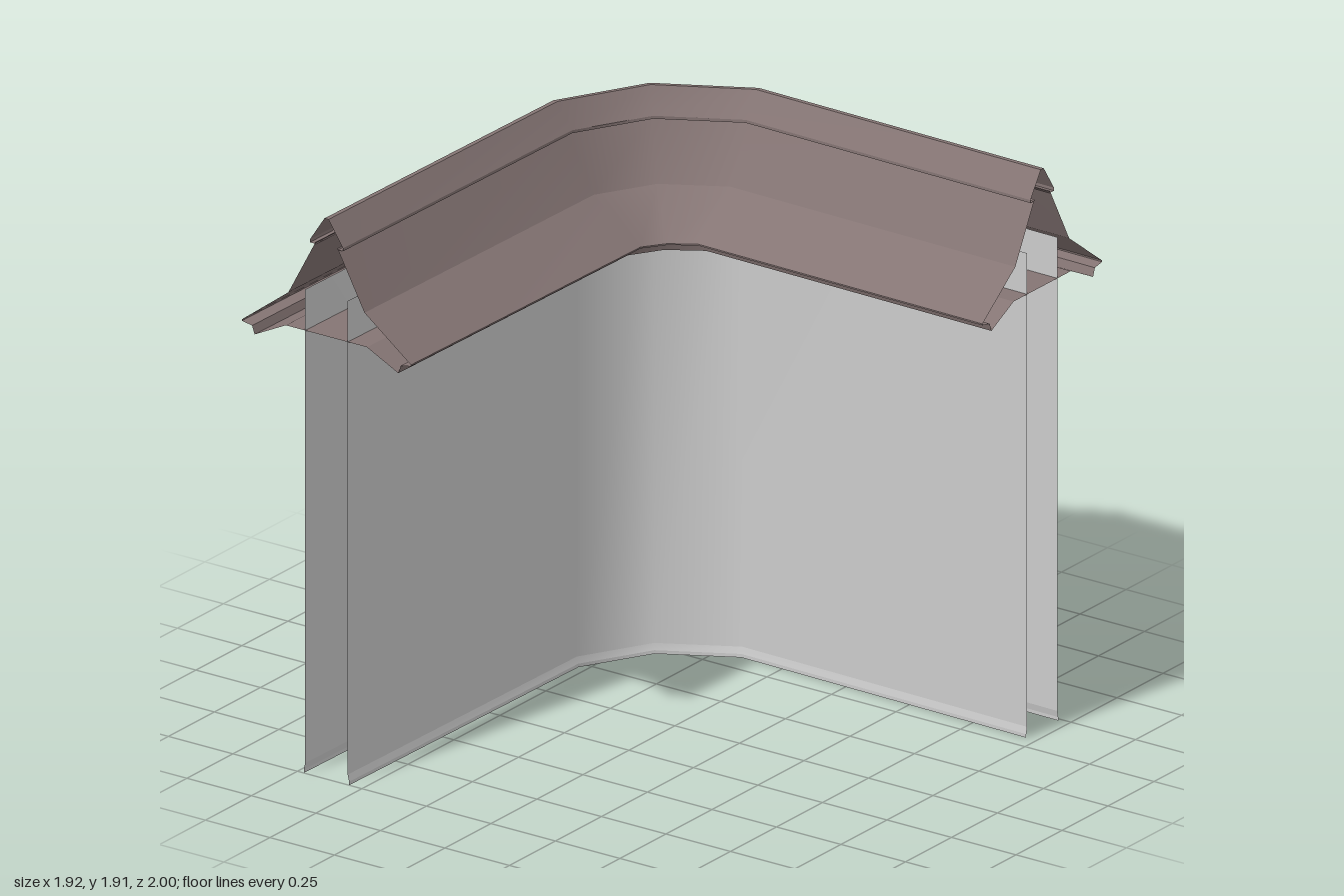
import * as THREE from 'three';

// Plan of the corner: [inner x, inner z, outer x, outer z] at each station
const stations = [
  [-0.31, 1.0, -0.965, 1.0],
  [-0.29, -0.22, -0.95, -0.22],
  [-0.24, -0.29, -0.68, -0.73],
  [-0.16, -0.345, -0.16, -1.0],
  [0.96, -0.325, 0.96, -0.975],
];

// Sweeps a profile of [t, y] points along the plan, t = 0 inner edge, t = 1 outer edge.
// Each band has its own vertices: smooth along the wall, sharp across the profile.
function sweep(name, profile, material) {
  const positions = [];
  const index = [];
  for (let i = 0; i < profile.length - 1; i++) {
    const base = positions.length / 3;
    stations.forEach(([ix, iz, ox, oz], s) => {
      for (const [t, y] of [profile[i], profile[i + 1]]) {
        positions.push(ix + (ox - ix) * t, y, iz + (oz - iz) * t);
      }
      if (s < stations.length - 1) {
        const a = base + s * 2;
        index.push(a, a + 1, a + 2, a + 1, a + 3, a + 2);
      }
    });
  }
  const geometry = new THREE.BufferGeometry();
  geometry.setAttribute('position', new THREE.Float32BufferAttribute(positions, 3));
  geometry.setIndex(index);
  geometry.computeVertexNormals();
  const mesh = new THREE.Mesh(geometry, material);
  mesh.name = name;
  return mesh;
}

// Mirrors half a profile about the ridge line to complete it
const mirrored = (half) => [...half, ...half.map(([t, y]) => [1 - t, y]).reverse()];
const flip = (profile) => profile.map(([t, y]) => [1 - t, y]).reverse();

export function createModel() {
  const group = new THREE.Group();
  const plaster = new THREE.MeshStandardMaterial({ color: 0xcccccc, side: THREE.DoubleSide });
  const tile = new THREE.MeshStandardMaterial({ color: 0x857574, side: THREE.DoubleSide });

  // Two thin wall faces with a slight flare at the foot
  const outerWall = [[0.634, 0], [0.634, 0.012], [0.626, 0.035], [0.626, 1.65]];
  group.add(sweep('outerWall', outerWall, plaster));
  group.add(sweep('innerWall', flip(outerWall), plaster));

  // Roof slopes with a kick at the eaves
  const outerSlope = [[1, 1.49], [0.725, 1.625], [0.565, 1.82]];
  group.add(sweep('outerRoofSlope', outerSlope, tile));
  group.add(sweep('innerRoofSlope', flip(outerSlope), tile));

  // Ridge cap overhanging the slopes
  group.add(sweep('ridgeCap', mirrored([[0.56, 1.815], [0.598, 1.815], [0.598, 1.825], [0.512, 1.91]]), tile));

  // Eave edges and the soffit between them
  const outerEave = [[0.74, 1.51], [0.925, 1.45], [0.94, 1.478], [1, 1.485], [1, 1.49]];
  group.add(sweep('outerEave', outerEave, tile));
  group.add(sweep('innerEave', flip(outerEave), tile));
  group.add(sweep('soffit', [[0.26, 1.51], [0.74, 1.51]], tile));

  return group;
}
